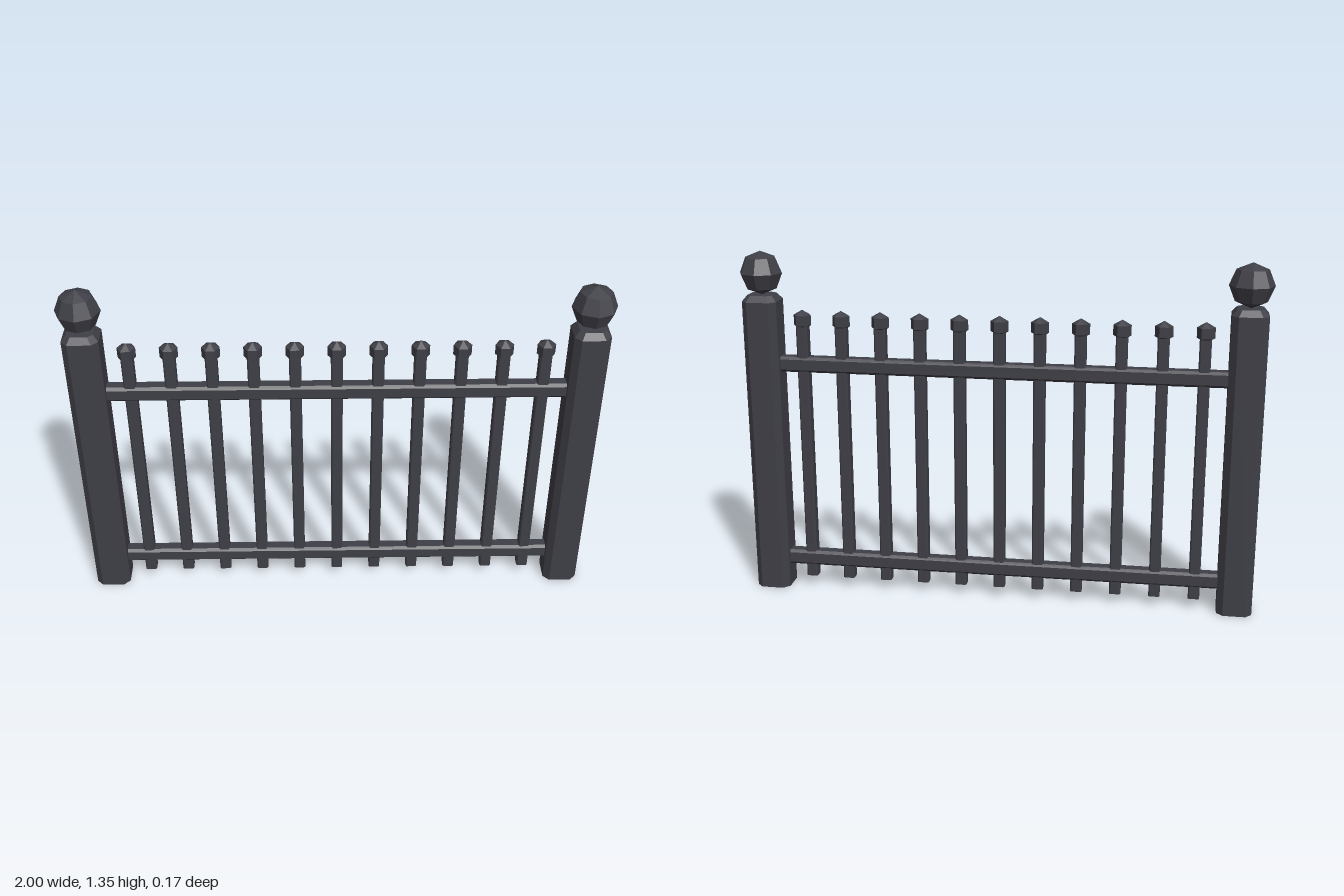
import * as THREE from 'three';

const iron = new THREE.MeshStandardMaterial({ color: 0x3f3f47 });
iron.name = 'dark iron';

// Upright bar with chamfered corners, standing on y = 0; topScale tapers its upper end
function chamferedBar(w, d, h, c, topScale = 1) {
  const x = w / 2, z = d / 2;
  const corners = [[x, c - z], [x, z - c], [x - c, z], [c - x, z], [-x, z - c], [-x, c - z], [c - x, -z], [x - c, -z]];
  const shape = new THREE.Shape(corners.map(([a, b]) => new THREE.Vector2(a, b)));
  const geo = new THREE.ExtrudeGeometry(shape, { depth: h, bevelEnabled: false });
  geo.rotateX(-Math.PI / 2);
  const p = geo.attributes.position;
  for (let i = 0; i < p.count; i++) {
    if (p.getY(i) > h / 2) p.setXYZ(i, p.getX(i) * topScale, p.getY(i), p.getZ(i) * topScale);
  }
  geo.computeVertexNormals();
  return geo;
}

// Faceted ball with flat normals
function facetedBall(r, around, down) {
  const geo = new THREE.SphereGeometry(r, around, down).toNonIndexed();
  geo.computeVertexNormals();
  return geo;
}

function add(parent, name, geo, x, y) {
  const mesh = new THREE.Mesh(geo, iron);
  mesh.name = name;
  mesh.position.set(x, y, 0);
  parent.add(mesh);
  return mesh;
}

export function createModel() {
  const fence = new THREE.Group();
  fence.name = 'fence';

  // End posts with bevelled tops and ball finials
  const shaft = chamferedBar(0.134, 0.134, 1.163, 0.024);
  const top = chamferedBar(0.134, 0.134, 0.023, 0.024, 0.72);
  const ball = facetedBall(0.083, 8, 4);
  for (const side of [-1, 1]) {
    const post = new THREE.Group();
    post.name = side > 0 ? 'leftPost' : 'rightPost';
    post.position.x = side * 0.917;
    add(post, 'postShaft', shaft, 0, 0);
    add(post, 'postTop', top, 0, 1.163);
    add(post, 'postBall', ball, 0, 1.268);
    fence.add(post);
  }

  // Horizontal rails between the posts
  const rail = chamferedBar(0.06, 0.056, 1.71, 0.01);
  rail.translate(0, -0.855, 0).rotateZ(Math.PI / 2);
  add(fence, 'lowerRail', rail, 0, 0.12);
  add(fence, 'upperRail', rail, 0, 0.918);

  // Pickets with small faceted knobs
  const bar = chamferedBar(0.044, 0.044, 1.03, 0.005);
  const knob = facetedBall(0.039, 6, 3);
  for (let i = -5; i <= 5; i++) {
    const picket = new THREE.Group();
    picket.name = 'picket';
    picket.position.x = i * 0.1525;
    add(picket, 'picketBar', bar, 0, 0.042);
    add(picket, 'picketKnob', knob, 0, 1.09);
    fence.add(picket);
  }
  return fence;
}
